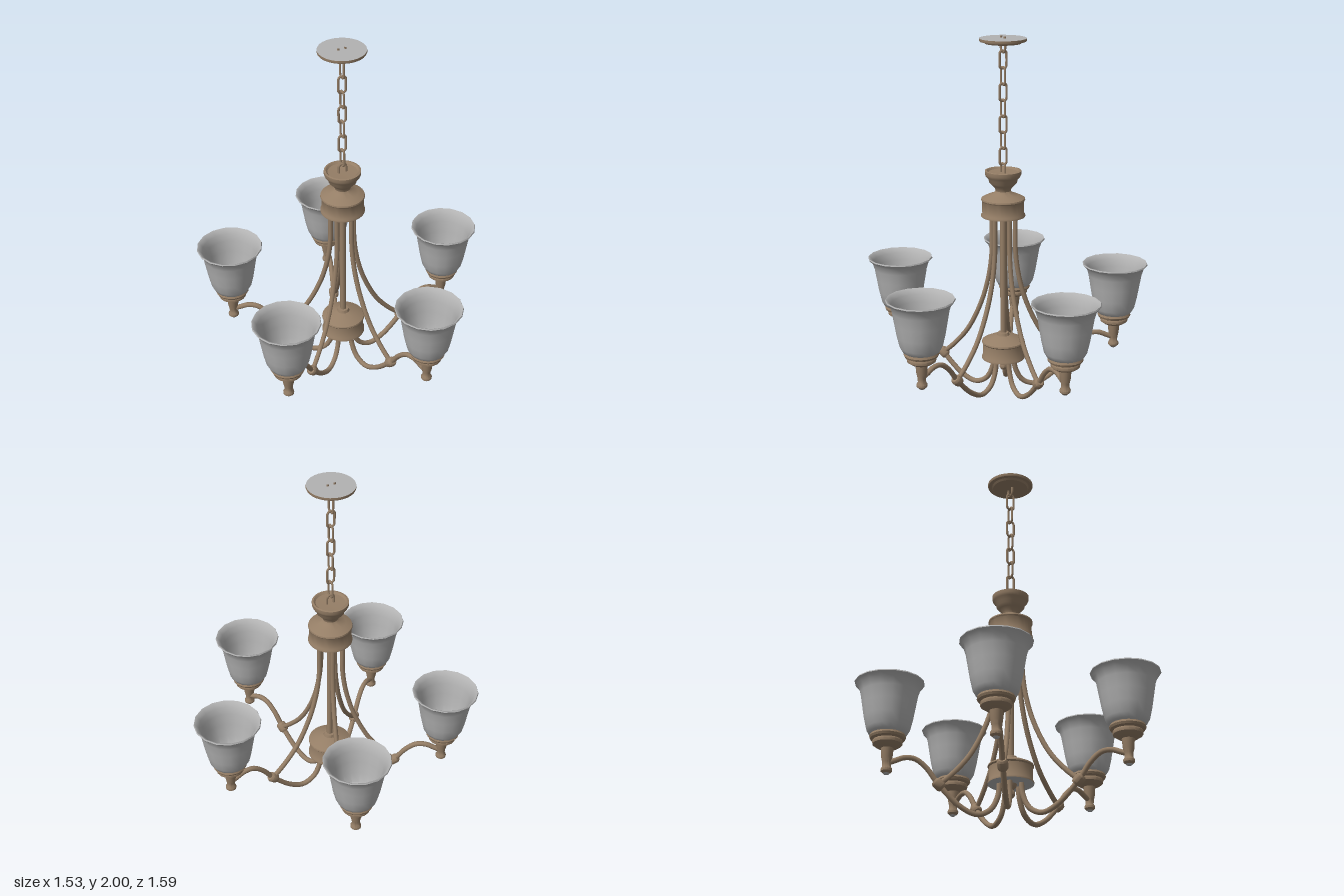
import * as THREE from 'three';
import { toCreasedNormals } from 'three/addons/utils/BufferGeometryUtils.js';

const bronze = new THREE.MeshStandardMaterial({ color: 0x957e66 });
bronze.name = 'bronze';
const frosted = new THREE.MeshStandardMaterial({ color: 0xb2b2b2 });
frosted.name = 'frosted grey';

function add(parent, name, geometry, material) {
  const mesh = new THREE.Mesh(geometry, material);
  mesh.name = name;
  parent.add(mesh);
  return mesh;
}

// Turned part: [radius, height] pairs from the bottom up
function turned(profile, sides) {
  const points = profile.map(([r, y]) => new THREE.Vector2(r, y));
  return toCreasedNormals(new THREE.LatheGeometry(points, sides), 0.7);
}

// Round rod through [x, y] points
function rod(path, radius, segments) {
  const curve = new THREE.CatmullRomCurve3(path.map(([x, y]) => new THREE.Vector3(x, y, 0)));
  return new THREE.TubeGeometry(curve, segments, radius, 8);
}

// Flat disc facing up (1) or down (-1)
function disc(parent, name, radius, y, facing) {
  const mesh = add(parent, name, new THREE.CircleGeometry(radius, 32), frosted);
  mesh.rotation.x = -facing * Math.PI / 2;
  mesh.position.y = y;
}

// One oblong chain link
function linkGeometry() {
  const w = 0.021, h = 0.046;
  const corners = [[w, -h + 0.012], [w, h - 0.012], [w - 0.008, h], [-w + 0.008, h],
    [-w, h - 0.012], [-w, -h + 0.012], [-w + 0.008, -h], [w - 0.008, -h]];
  const curve = new THREE.CatmullRomCurve3(
    corners.map(([x, y]) => new THREE.Vector3(x, y, 0)), true, 'catmullrom', 0.15);
  return new THREE.TubeGeometry(curve, 32, 0.0065, 6, true);
}

function createArm() {
  const arm = new THREE.Group();
  arm.name = 'arm';

  // Long rod sweeping down from the upper hub
  add(arm, 'upperRod', rod([[0.068, 1.03], [0.068, 0.92], [0.07, 0.8], [0.09, 0.655],
    [0.135, 0.5], [0.215, 0.335], [0.3, 0.23], [0.375, 0.16]], 0.0135, 36), bronze);

  // S-shaped rod from the lower hub to the lamp
  add(arm, 'lowerRod', rod([[0.058, 0.21], [0.068, 0.12], [0.107, 0.045], [0.175, 0.015],
    [0.26, 0.05], [0.375, 0.16], [0.44, 0.245], [0.5, 0.29], [0.555, 0.293],
    [0.6, 0.275], [0.645, 0.255]], 0.0145, 48), bronze);

  // Collar where the rods meet
  const collar = add(arm, 'collar', turned([[0, -0.029], [0.02, -0.029], [0.028, -0.018],
    [0.028, 0.018], [0.02, 0.029], [0, 0.029]], 10), bronze);
  collar.position.set(0.375, 0.16, 0);
  collar.rotation.z = -0.85;

  const lamp = new THREE.Group();
  lamp.name = 'lamp';
  lamp.position.x = 0.645;
  arm.add(lamp);

  // Stem and stepped cup
  add(lamp, 'lampStem', turned([[0.018, 0.202], [0.029, 0.212], [0.03, 0.224], [0.022, 0.238],
    [0.023, 0.26], [0.029, 0.285], [0.033, 0.335], [0.055, 0.342], [0.077, 0.357],
    [0.079, 0.372], [0.075, 0.379], [0.09, 0.386], [0.095, 0.397], [0.09, 0.41],
    [0, 0.413]], 16), bronze);
  add(lamp, 'stemTip', turned([[0, 0.195], [0.012, 0.196], [0.018, 0.202]], 16), frosted);

  // Bell shade with wall thickness
  add(lamp, 'shade', turned([[0.085, 0.405], [0.1, 0.415], [0.114, 0.44], [0.128, 0.5],
    [0.14, 0.57], [0.151, 0.635], [0.163, 0.672], [0.178, 0.688], [0.184, 0.695],
    [0.181, 0.702], [0.172, 0.697], [0.156, 0.675], [0.143, 0.635], [0.132, 0.57],
    [0.12, 0.5], [0.104, 0.445], [0.075, 0.423], [0, 0.42]], 16), frosted);
  return arm;
}

export function createModel() {
  const model = new THREE.Group();
  model.name = 'chandelier';
  const body = new THREE.Group();
  body.name = 'body';
  body.position.x = -0.065;
  model.add(body);

  // Ceiling plate
  add(body, 'ceilingPlate', turned([[0, 1.962], [0.098, 1.962], [0.105, 1.973], [0.125, 1.973],
    [0.128, 1.98], [0.127, 1.989]], 32), bronze);
  disc(body, 'ceilingPlateTop', 0.127, 1.989, 1);

  // Chain of alternating links, with a hook through the plate
  const link = linkGeometry();
  for (let i = 0; i < 8; i++) {
    const mesh = add(body, 'chainLink', link, bronze);
    mesh.position.y = 1.2625 + i * 0.0875;
    mesh.rotation.y = (i % 2) * Math.PI / 2;
  }
  add(body, 'chainHook', rod([[-0.02, 2], [-0.021, 1.93], [-0.012, 1.916], [0.012, 1.916],
    [0.021, 1.93], [0.02, 2]], 0.0065, 24), bronze);

  // Upper hub with flared cap
  add(body, 'upperHub', turned([[0.121, 1.015], [0.121, 1.024], [0.115, 1.032], [0.115, 1.1],
    [0.121, 1.108], [0.119, 1.116], [0.085, 1.133], [0.05, 1.146], [0.042, 1.158],
    [0.045, 1.172], [0.062, 1.19], [0.076, 1.205], [0.08, 1.222], [0.094, 1.238],
    [0.1, 1.252], [0.1, 1.27], [0.09, 1.272], [0.08, 1.262], [0, 1.258]], 32), bronze);
  disc(body, 'upperHubBase', 0.121, 1.015, -1);

  // Centre rod
  const centre = add(body, 'centreRod', new THREE.CylinderGeometry(0.017, 0.017, 0.72, 12), bronze);
  centre.position.y = 0.67;

  // Lower hub and the finial under it
  add(body, 'lowerHub', turned([[0.121, 0.188], [0.121, 0.197], [0.115, 0.205], [0.115, 0.275],
    [0.121, 0.282], [0.119, 0.29], [0.08, 0.309], [0.035, 0.322], [0.03, 0.338],
    [0, 0.34]], 32), bronze);
  disc(body, 'lowerHubBase', 0.121, 0.188, -1);
  add(body, 'finial', turned([[0, 0.112], [0.014, 0.116], [0.022, 0.13], [0.02, 0.146],
    [0.013, 0.156], [0.028, 0.172], [0.032, 0.19]], 16), bronze);

  // Five arms around the centre
  for (let i = 0; i < 5; i++) {
    const arm = createArm();
    arm.rotation.y = i * Math.PI * 2 / 5;
    body.add(arm);
  }
  return model;
}
